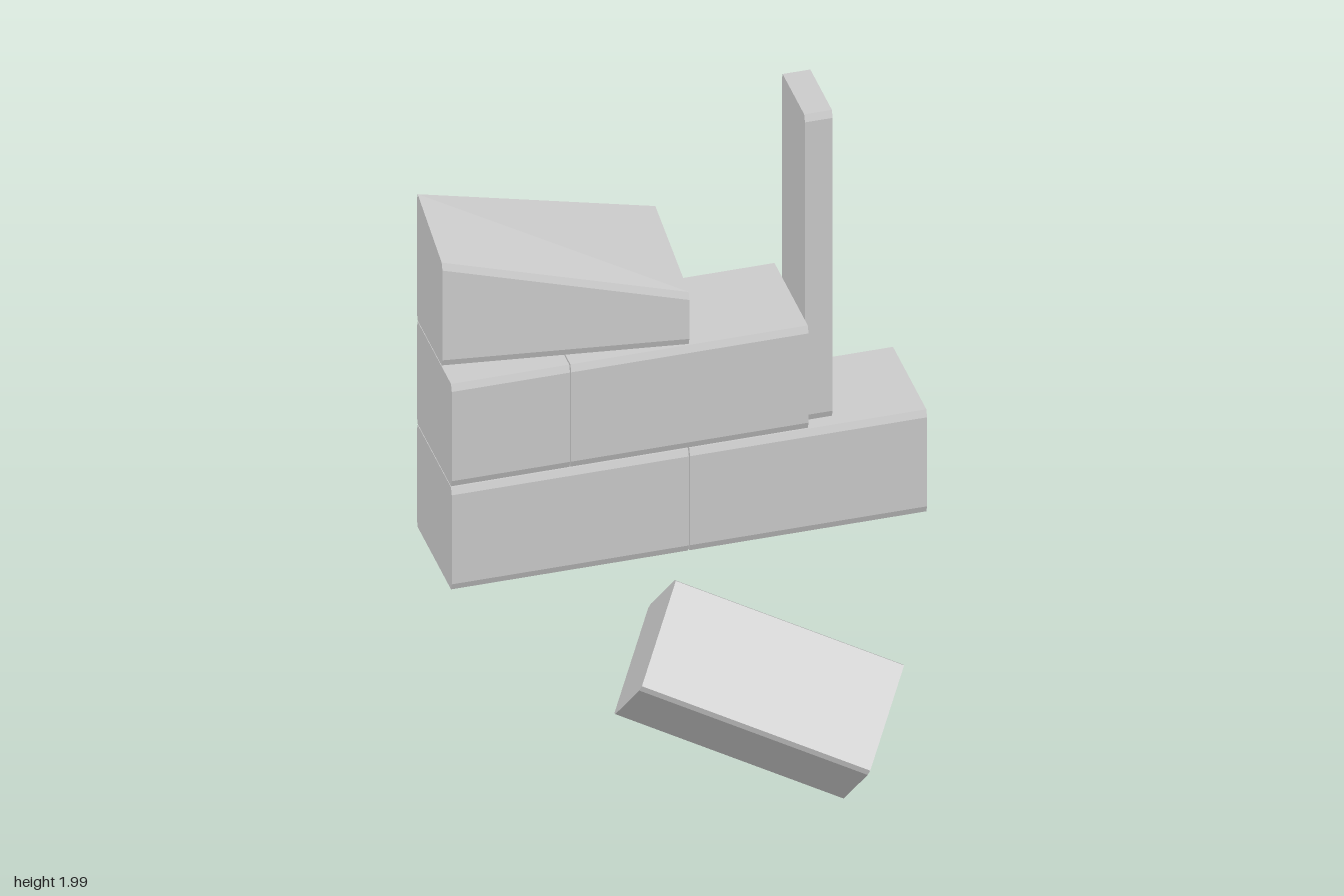
import * as THREE from 'three';

const material = new THREE.MeshStandardMaterial({ color: 0xcccccc, flatShading: true });
const CY = 0.025; // bevel height
const CZ = 0.009; // bevel depth

// Bevelled cross-section as [y, z] points, turning from +y to +z
function section(zBack, zFront, yBottom, yTopBack, yTopFront = yTopBack) {
  return [
    [yTopBack, zBack + CZ], [yTopFront, zFront - CZ],
    [yTopFront - CY, zFront], [yBottom + CY, zFront],
    [yBottom, zFront - CZ], [yBottom, zBack + CZ],
    [yBottom + CY, zBack], [yTopBack - CY, zBack],
  ];
}

// Solid running along x from section a to section b
function prism(name, x0, x1, a, b = a) {
  const positions = [];
  const A = a.map(([y, z]) => [x0, y, z]);
  const B = b.map(([y, z]) => [x1, y, z]);
  const tri = (...points) => points.forEach((p) => positions.push(...p));
  const n = A.length;
  for (let i = 0; i < n; i++) {
    const j = (i + 1) % n;
    tri(A[i], A[j], B[j]);
    tri(A[i], B[j], B[i]);
    if (i > 0 && j > 0) {
      tri(B[0], B[i], B[j]);
      tri(A[0], A[j], A[i]);
    }
  }
  const geometry = new THREE.BufferGeometry();
  geometry.setAttribute('position', new THREE.Float32BufferAttribute(positions, 3));
  geometry.computeVertexNormals();
  const mesh = new THREE.Mesh(geometry, material);
  mesh.name = name;
  return mesh;
}

export function createModel() {
  const model = new THREE.Group();
  model.name = 'brokenBrickWall';
  const back = -0.775, front = -0.383;

  // Bottom course
  const low = section(back, front, 0.435, 0.826);
  model.add(prism('bottomBrickRight', -0.79, -0.002, low));
  model.add(prism('bottomBrickLeft', 0.002, 0.79, low));

  // Middle course: a half brick and a whole one
  const mid = section(back, front, 0.83, 1.222);
  model.add(prism('middleHalfBrick', -0.79, -0.397, mid));
  model.add(prism('middleBrick', -0.393, 0.396, mid));

  // Top brick, tapered and cut on a slant
  model.add(prism('topSlantedBrick', -0.79, 0,
    section(back, -0.488, 1.226, 1.71, 1.62),
    section(back, front, 1.226, 1.515, 1.425)));

  // Upright post
  model.add(prism('post', 0.398, 0.49, section(-0.69, -0.43, 0.828, 2)));

  // Fallen brick, tilted in front of the wall
  const fallen = prism('fallenBrick', -0.392, 0.392, section(-0.193, 0.193, -0.193, 0.193));
  const u = new THREE.Vector3(0.68, -0.285, 0.26).normalize();
  const v = new THREE.Vector3(0.01, 0.27, 0.265);
  v.addScaledVector(u, -v.dot(u)).normalize();
  const w = new THREE.Vector3().crossVectors(u, v);
  fallen.quaternion.setFromRotationMatrix(new THREE.Matrix4().makeBasis(u, v, w));
  fallen.position.set(0.004, 0.4, 0.387);
  model.add(fallen);

  return model;
}
